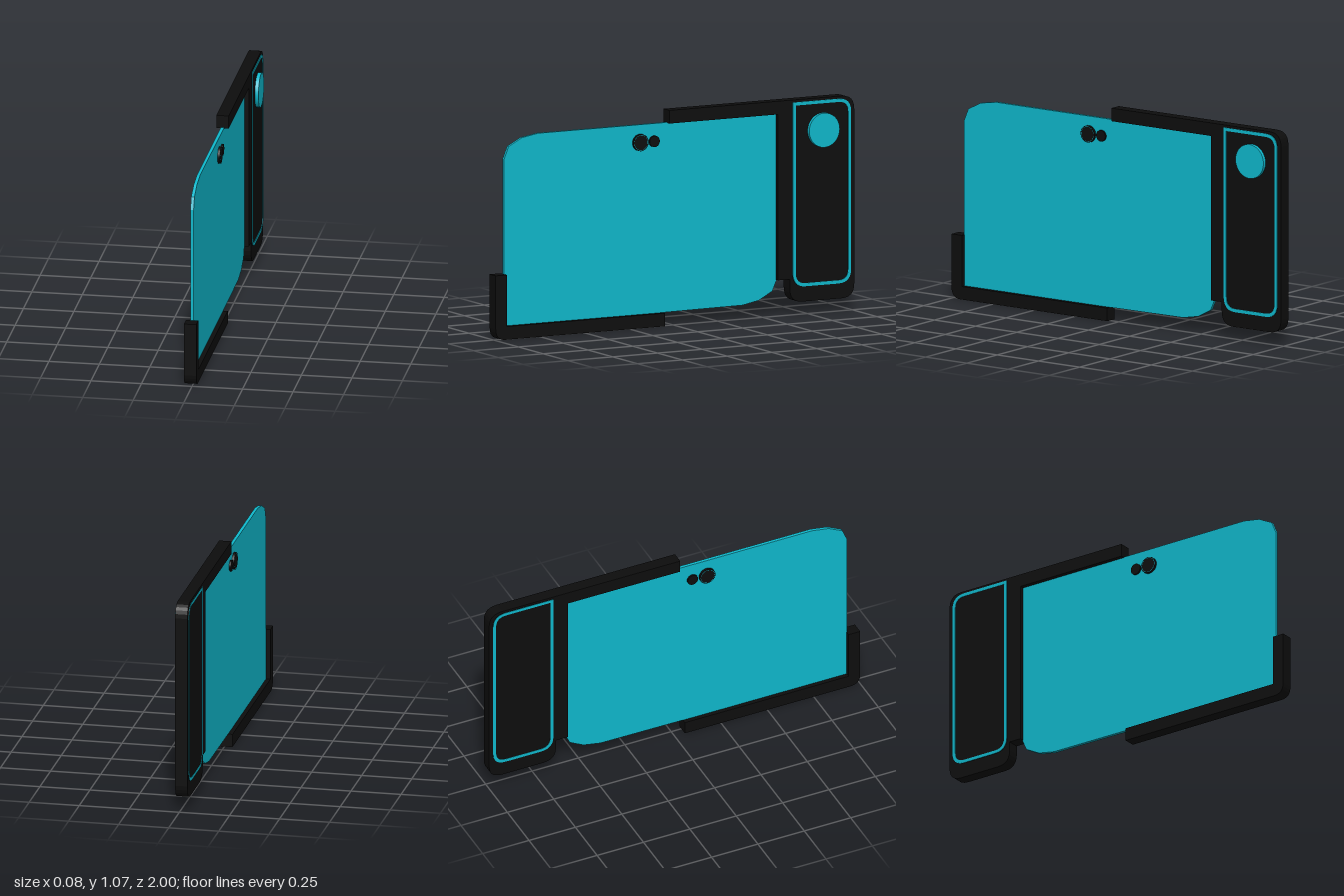
import * as THREE from 'three';

const cyan = new THREE.MeshStandardMaterial({ color: 0x0fb8cc });
cyan.name = 'cyan';
const black = new THREE.MeshStandardMaterial({ color: 0x0d0d0d });
black.name = 'black';

// Closed outline from [s, y, cornerRadius] points, where s = -z
function outline(points, Type = THREE.Shape) {
  const path = new Type();
  const n = points.length;
  points.forEach(([x, y, r = 0], i) => {
    const corner = new THREE.Vector2(x, y);
    const toward = ([px, py]) =>
      new THREE.Vector2(px, py).sub(corner).normalize().multiplyScalar(r).add(corner);
    const a = toward(points[(i + n - 1) % n]);
    const b = toward(points[(i + 1) % n]);
    if (i === 0) path.moveTo(a.x, a.y);
    else path.lineTo(a.x, a.y);
    if (r > 0) path.quadraticCurveTo(x, y, b.x, b.y);
  });
  path.closePath();
  return path;
}

// Slab with the outline in the z-y plane, spanning x0..x1
function slab(name, shape, x0, x1, material) {
  const geometry = new THREE.ExtrudeGeometry(shape, {
    depth: x1 - x0, bevelEnabled: false, curveSegments: 6,
  });
  geometry.rotateY(Math.PI / 2);
  geometry.translate(x0, 0, 0);
  const mesh = new THREE.Mesh(geometry, material);
  mesh.name = name;
  return mesh;
}

// Disc with its axis along x
function disc(name, r, x0, x1, y, z, material) {
  const geometry = new THREE.CylinderGeometry(r, r, x1 - x0, 32);
  geometry.rotateZ(Math.PI / 2);
  const mesh = new THREE.Mesh(geometry, material);
  mesh.position.set((x0 + x1) / 2, y, z);
  mesh.name = name;
  return mesh;
}

export function createModel() {
  const model = new THREE.Group();
  model.name = 'panelDevice';

  // Central panel with two clipped corners
  model.add(slab('panel', outline([
    [-0.94, 0.06], [0.39, 0.068], [0.48, 0.085], [0.555, 0.125], [0.58, 0.18],
    [0.58, 1.003], [-0.75, 1.003], [-0.84, 0.988], [-0.915, 0.95], [-0.94, 0.89],
  ]), -0.018, -0.002, cyan));

  // Upper rail, hinge strip and grip
  model.add(slab('gripFrame', outline([
    [-0.03, 1.0], [0.575, 1.0], [0.575, 0.18], [0.64, 0.18], [0.64, 0.065, 0.07],
    [1, 0.065, 0.07], [1, 1.065, 0.07], [-0.03, 1.065],
  ]), -0.04, 0.021, black));

  // Lower corner rail
  model.add(slab('cornerRail', outline([
    [-1, 0, 0.055], [-0.055, 0], [-0.055, 0.065], [-0.938, 0.065], [-0.938, 0.32], [-1, 0.32],
  ]), -0.04, 0.021, black));

  // Raised grip pad with an inlaid border on both sides
  const border = (d, Type) => outline([
    [0.655 + d, 0.14 + d, 0.07 - d], [0.98 - d, 0.14 + d, 0.07 - d],
    [0.98 - d, 1.053 - d, 0.07 - d], [0.655 + d, 1.053 - d],
  ], Type);
  model.add(slab('gripPad', border(0), -0.042, 0.023, black));
  for (const [side, x0, x1] of [['left', 0.022, 0.026], ['right', -0.0435, -0.0415]]) {
    const ring = border(0);
    ring.holes.push(border(0.016, THREE.Path));
    model.add(slab(side + 'GripBorder', ring, x0, x1, cyan));
  }

  // Round dial on the grip
  model.add(disc('dial', 0.085, 0.02, 0.041, 0.906, -0.823, cyan));

  // Paired lenses passing through the panel, the larger one with a fine rim
  model.add(disc('largeLens', 0.042, -0.03, 0.01, 0.915, 0.183, black));
  model.add(disc('smallLens', 0.028, -0.027, 0.007, 0.915, 0.105, black));
  for (const side of [1, -1]) {
    const rim = new THREE.Mesh(new THREE.RingGeometry(0.0365, 0.038, 32), cyan);
    rim.rotation.y = side * Math.PI / 2;
    rim.position.set(-0.01 + side * 0.0205, 0.915, 0.183);
    rim.name = side > 0 ? 'leftLensRim' : 'rightLensRim';
    model.add(rim);
  }
  return model;
}
